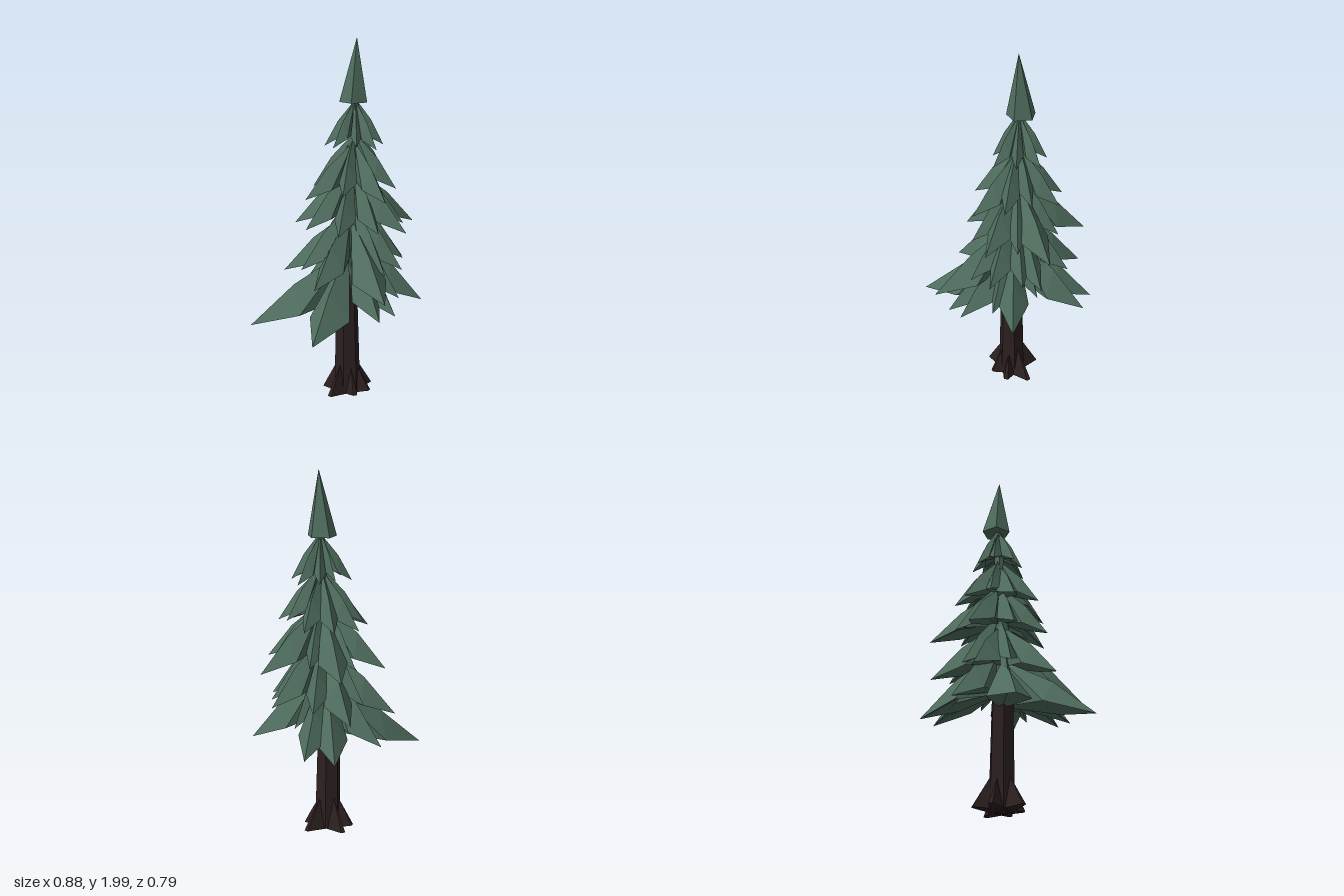
import * as THREE from 'three';
import { ConvexGeometry } from 'three/addons/geometries/ConvexGeometry.js';

const V = (x, y, z) => new THREE.Vector3(x, y, z);

// Centreline and radius of trunk and stem: [y, x, z, radius]
const SPINE = [
  [0.01, 0.035, -0.05, 0.075],
  [0.18, 0.035, -0.05, 0.07],
  [0.6, 0.03, -0.052, 0.062],
  [0.7, 0.037, -0.05, 0.058],
  [1.1, 0.065, -0.045, 0.045],
  [1.68, 0.09, -0.045, 0.02],
];

// Centre of the trunk at a given height
function axisAt(y) {
  let i = 0;
  while (i < SPINE.length - 2 && y > SPINE[i + 1][0]) i++;
  const [y0, x0, z0] = SPINE[i], [y1, x1, z1] = SPINE[i + 1];
  const t = Math.min(1, Math.max(0, (y - y0) / (y1 - y0)));
  return V(x0 + (x1 - x0) * t, y, z0 + (z1 - z0) * t);
}

// Whorls of boughs: tip height is base - sag * reach; drop is root to tip; tips are [x, z]
const TIERS = [
  { base: 0.71, sag: 0.45, drop: 0.4, tips: [
    [-0.44, -0.32], [-0.44, 0.19], [0.42, -0.23], [0.33, -0.18], [0, -0.4], [0.34, -0.37],
    [0.03, 0.33], [0.34, 0.23], [-0.08, 0.32], [0.17, 0.22], [0.27, -0.02], [-0.13, -0.12]] },
  { base: 0.92, sag: 0.57, drop: 0.37, tips: [
    [-0.11, 0.39], [-0.3, 0.05], [0.37, 0.05], [-0.15, -0.37], [0.23, -0.38], [0.17, 0.24],
    [0.03, 0.25], [0.32, -0.2], [-0.2, -0.17], [0.3, 0.12], [0.04, -0.31]] },
  { base: 1.05, sag: 0.27, drop: 0.34, tips: [
    [0.44, 0.06], [0.17, 0.27], [0.28, -0.36], [-0.19, -0.14], [-0.17, 0.1],
    [-0.08, -0.355], [0.01, 0.22], [0.29, -0.15], [0.11, -0.31], [0.28, 0.14]] },
  { base: 1.36, sag: 0.75, drop: 0.3, tips: [
    [0.31, -0.13], [-0.19, -0.14], [0.04, 0.24], [0.06, -0.29], [0.2, 0.16],
    [-0.12, 0.08], [0.21, -0.25], [0.27, 0.03], [-0.07, -0.21]] },
  { base: 1.48, sag: 0.4, drop: 0.25, tips: [
    [0.26, -0.04], [-0.07, -0.05], [0.08, 0.13], [0.11, -0.17],
    [0.19, 0.07], [-0.03, -0.16], [0, 0.06], [0.2, -0.14]] },
];

// Closed bough: deep root, raised ridge, low side corners, pointed tip
function boughGeometry([x, z], { base, sag, drop }) {
  const T = V(x, base - sag * Math.hypot(x - 0.09, z + 0.04), z);
  const R = axisAt(T.y + drop);
  const out = V(T.x - R.x, 0, T.z - R.z);
  const reach = out.length();
  out.normalize();
  const side = V(-out.z, 0, out.x);
  const at = (along, across, up) => V(R.x, T.y + up * drop, R.z)
    .addScaledVector(out, along * reach).addScaledVector(side, across * reach);
  const K = at(0.56, 0, 0.54), U = at(0.5, 0, 0.3), D = at(0, 0, 0.32);
  const A = at(0.55, 0.21, 0.18), B = at(0.55, -0.21, 0.18);
  const faces = [
    R, A, K, R, K, B, K, A, T, K, T, B, // upper side
    R, D, A, R, B, D, // inner flanks
    D, U, A, D, B, U, U, T, A, U, B, T, // underside
  ];
  const g = new THREE.BufferGeometry().setFromPoints(faces);
  g.computeVertexNormals();
  return g;
}

// Six-sided tapering shaft through the given stations
function shaftGeometry(stations) {
  const rows = stations.length - 1;
  const g = new THREE.CylinderGeometry(1, 1, 1, 6, rows);
  const p = g.attributes.position;
  for (let i = 0; i < p.count; i++) {
    const [y, x, z, r] = stations[Math.round((p.getY(i) + 0.5) * rows)];
    p.setXYZ(i, x + p.getX(i) * r, y, z + p.getZ(i) * r);
  }
  g.computeVertexNormals();
  return g;
}

// Flared root wedge leaning on the trunk foot
function rootGeometry(angle, reach, height) {
  const c = axisAt(0.01);
  const at = (along, across, y) => V(
    c.x + Math.cos(angle) * along - Math.sin(angle) * across, y,
    c.z + Math.sin(angle) * along + Math.cos(angle) * across);
  return new ConvexGeometry([
    at(0.06, 0, height), at(0.02, 0, height),
    at(0.03, 0.045, 0.005), at(0.03, -0.045, 0.005),
    at(reach, 0.012, 0.015), at(reach, -0.012, 0.015),
    at(reach * 0.75, 0, 0.08),
  ]);
}

export function createModel() {
  const needles = new THREE.MeshStandardMaterial({ color: 0x4f6d5e, flatShading: true });
  needles.name = 'needle green';
  const bark = new THREE.MeshStandardMaterial({ color: 0x2d2020, flatShading: true });
  bark.name = 'dark bark';

  const model = new THREE.Group();
  model.name = 'pineTree';
  const add = (parent, name, geometry, material) => {
    const mesh = new THREE.Mesh(geometry, material);
    mesh.name = name;
    parent.add(mesh);
    return mesh;
  };

  // Bare trunk below, leafy stem above
  add(model, 'trunk', shaftGeometry(SPINE.slice(0, 4)), bark);
  add(model, 'leafyStem', shaftGeometry(SPINE.slice(3)), needles);

  // Roots around the foot: angle, reach, height
  const roots = new THREE.Group();
  roots.name = 'roots';
  [[0.1, 0.165, 0.18], [1.0, 0.13, 0.15], [1.95, 0.12, 0.16],
    [3.0, 0.16, 0.18], [4.2, 0.14, 0.17], [5.0, 0.16, 0.19]]
    .forEach((r) => add(roots, 'root', rootGeometry(...r), bark));
  model.add(roots);

  // Whorls of boughs
  TIERS.forEach((spec, i) => {
    const tier = new THREE.Group();
    tier.name = `boughTier${i + 1}`;
    spec.tips.forEach((tip) => add(tier, 'bough', boughGeometry(tip, spec), needles));
    model.add(tier);
  });

  // Five-sided crown with its point leaning slightly
  const crown = new THREE.ConeGeometry(0.08, 0.345, 5).rotateY(Math.PI / 2);
  const p = crown.attributes.position;
  for (let i = 0; i < p.count; i++) {
    if (p.getY(i) > 0) p.setZ(i, p.getZ(i) + 0.022);
  }
  crown.computeVertexNormals();
  add(model, 'crown', crown, needles).position.set(0.092, 1.8225, -0.057);

  return model;
}
